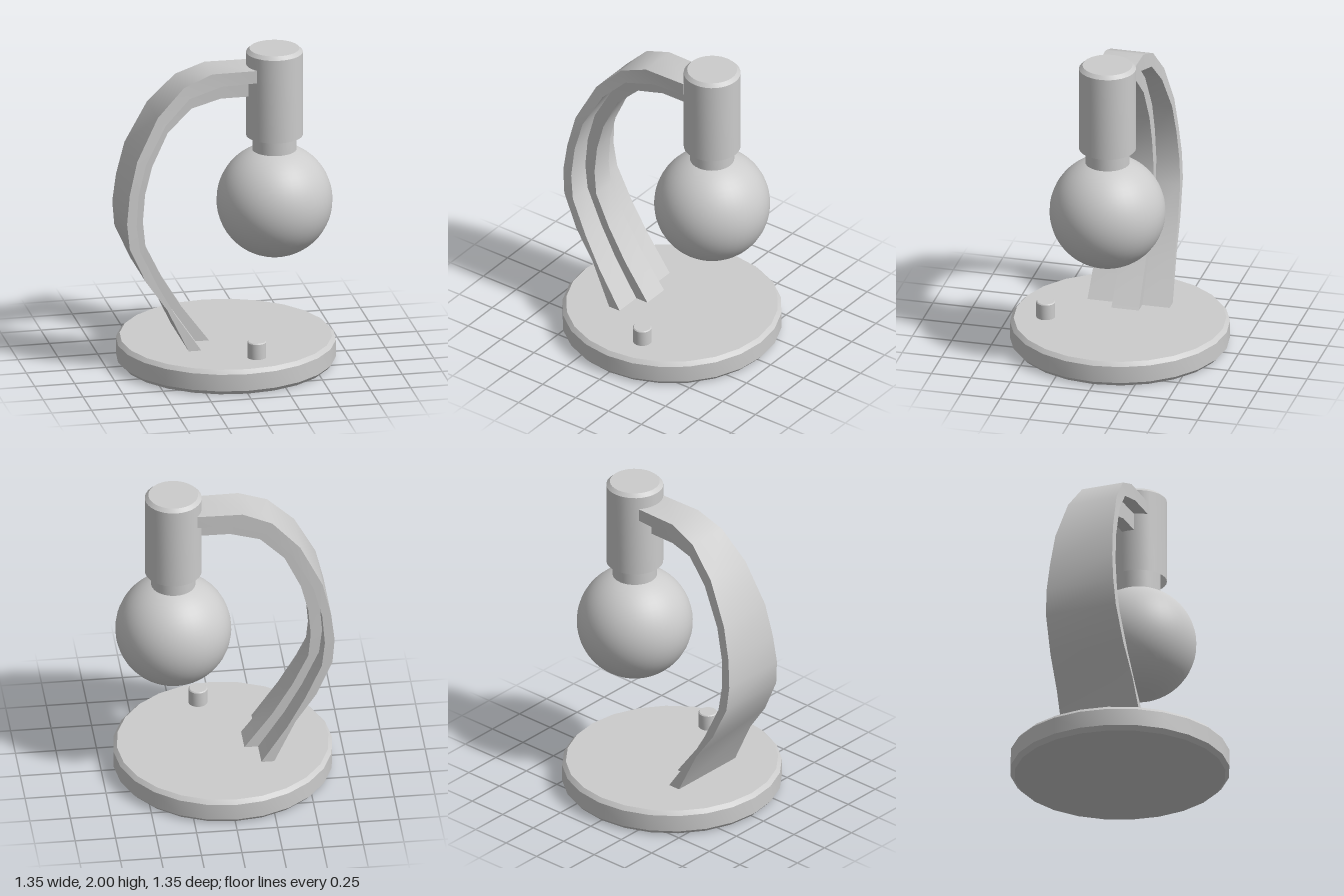
import * as THREE from 'three';
import { toCreasedNormals } from 'three/addons/utils/BufferGeometryUtils.js';

const grey = new THREE.MeshStandardMaterial({ color: 0xcccccc });
const greyOpen = new THREE.MeshStandardMaterial({ color: 0xcccccc, side: THREE.DoubleSide });

function add(group, name, geometry, material = grey) {
  const mesh = new THREE.Mesh(geometry, material);
  mesh.name = name;
  group.add(mesh);
  return mesh;
}

// Turned part from [radius, height] pairs, listed bottom to top
function turned(profile, segments) {
  const points = profile.map(([r, y]) => new THREE.Vector2(r, y));
  return toCreasedNormals(new THREE.LatheGeometry(points, segments), 0.6);
}

// Curved arm: a T section (wide outer plate, narrow inner rib) swept from lamp holder to base
function armGeometry() {
  // outer x, y, plate underside x, y, rib x, y, half width
  const stations = [
    [0.17, 1.90, 0.17, 1.82, 0.17, 1.71, 0.115],
    [-0.11, 1.90, -0.05, 1.815, -0.04, 1.71, 0.12],
    [-0.29, 1.83, -0.255, 1.755, -0.225, 1.66, 0.135],
    [-0.46, 1.655, -0.41, 1.60, -0.375, 1.515, 0.16],
    [-0.595, 1.39, -0.54, 1.365, -0.475, 1.305, 0.19],
    [-0.645, 1.18, -0.59, 1.17, -0.52, 1.13, 0.205],
    [-0.665, 1.0, -0.605, 0.98, -0.535, 0.955, 0.22],
    [-0.65, 0.84, -0.585, 0.82, -0.52, 0.80, 0.23],
    [-0.55, 0.62, -0.48, 0.595, -0.42, 0.595, 0.24],
    [-0.42, 0.435, -0.37, 0.40, -0.295, 0.39, 0.25],
    [-0.285, 0.155, -0.205, 0.155, -0.12, 0.155, 0.26],
  ];
  const positions = [];
  const index = [];
  for (const [ox, oy, mx, my, ix, iy, w] of stations) {
    const r = w / 3;
    positions.push(
      ox, oy, w, ox, oy, -w, mx, my, -w, mx, my, -r,
      ix, iy, -r, ix, iy, r, mx, my, r, mx, my, w);
  }
  const quad = (a, b, c, d) => index.push(a, b, c, a, c, d);
  for (let i = 0; i < stations.length - 1; i++) {
    for (let j = 0; j < 8; j++) {
      const k = (j + 1) % 8;
      quad(i * 8 + j, i * 8 + k, i * 8 + 8 + k, i * 8 + 8 + j);
    }
  }
  // End caps
  const e = (stations.length - 1) * 8;
  quad(7, 2, 1, 0);
  quad(6, 5, 4, 3);
  quad(e, e + 1, e + 2, e + 7);
  quad(e + 3, e + 4, e + 5, e + 6);
  const geometry = new THREE.BufferGeometry();
  geometry.setAttribute('position', new THREE.Float32BufferAttribute(positions, 3));
  geometry.setIndex(index);
  return toCreasedNormals(geometry, 0.6);
}

export function createModel() {
  const lamp = new THREE.Group();
  lamp.name = 'tableLamp';

  // Round base with bevelled rims
  add(lamp, 'base', turned(
    [[0, 0], [0.65, 0], [0.675, 0.027], [0.675, 0.135], [0.652, 0.16], [0, 0.16]], 24));

  // Push switch on the base
  const button = add(lamp, 'switchButton', turned(
    [[0.058, 0.15], [0.058, 0.258], [0.052, 0.264], [0, 0.264]], 24));
  button.position.set(0.1, 0, 0.445);

  add(lamp, 'arm', armGeometry());

  // Lamp head hanging from the arm: open holder, neck and globe bulb
  const head = new THREE.Group();
  head.name = 'lampHead';
  head.position.x = 0.305;
  lamp.add(head);
  add(head, 'holder', turned([[0.175, 1.44], [0.175, 1.978], [0.153, 2], [0, 2]], 32), greyOpen);
  add(head, 'bulbNeck', turned([[0.136, 1.32], [0.136, 1.6], [0, 1.6]], 32));
  add(head, 'bulb', new THREE.SphereGeometry(0.356, 40, 28)).position.y = 1.016;

  return lamp;
}
